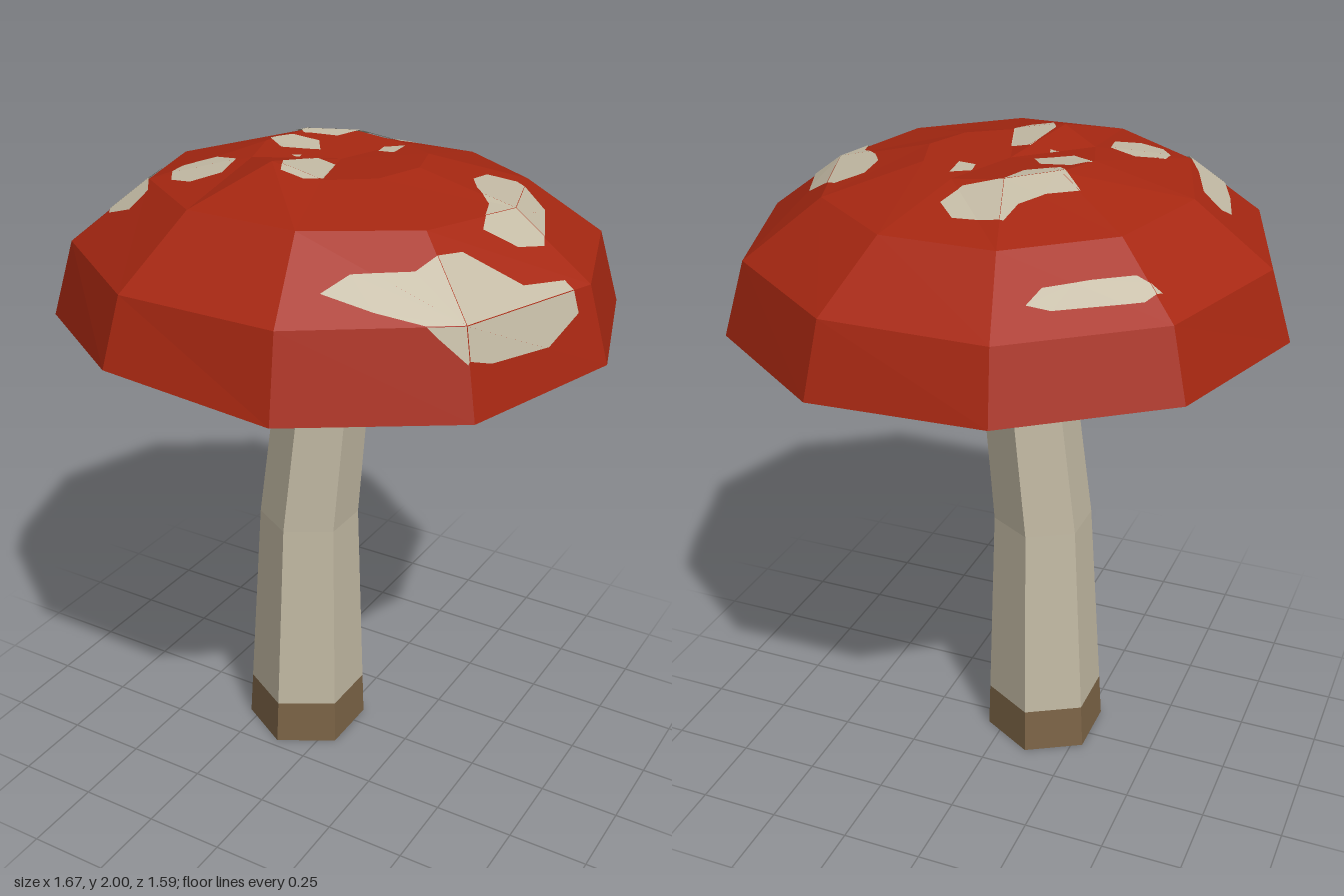
import * as THREE from 'three';

const red = new THREE.MeshStandardMaterial({ color: 0xa62711, flatShading: true });
red.name = 'capRed';
const cream = new THREE.MeshStandardMaterial({ color: 0xc4bba5, flatShading: true, side: THREE.DoubleSide });
cream.name = 'cream';
const brown = new THREE.MeshStandardMaterial({ color: 0x7d6547, flatShading: true, side: THREE.DoubleSide });
brown.name = 'earthBrown';

// Ring of n points; y is a function of (index, z)
function ring(n, r, y, cx = 0, cz = 0, turn = 0) {
  return Array.from({ length: n }, (_, k) => {
    const a = (k / n) * Math.PI * 2 + turn;
    const z = cz + r * Math.sin(a);
    return new THREE.Vector3(cx + r * Math.cos(a), y(k, z), z);
  });
}

// Triangles joining successive rings, skipping those that collapse at a tip
function loft(rings) {
  const tris = [];
  for (let i = 0; i < rings.length - 1; i++) {
    const lo = rings[i], hi = rings[i + 1], n = lo.length;
    for (let k = 0; k < n; k++) {
      const m = (k + 1) % n;
      for (const t of [[lo[k], hi[k], hi[m]], [lo[k], hi[m], lo[m]]]) {
        if (new THREE.Triangle(...t).getArea() > 1e-6) tris.push(t);
      }
    }
  }
  return tris;
}

function meshOf(tris, material, name) {
  const geo = new THREE.BufferGeometry().setFromPoints(tris.flat());
  geo.computeVertexNormals();
  const mesh = new THREE.Mesh(geo, material);
  mesh.name = name;
  return mesh;
}

// Cut a plan-view outline (x, z) to one triangle
function clip(poly, tri) {
  const p = tri.map(v => [v.x, v.z]);
  const side = (a, b, q) => (b[0] - a[0]) * (q[1] - a[1]) - (b[1] - a[1]) * (q[0] - a[0]);
  const sign = Math.sign(side(p[0], p[1], p[2]));
  for (let e = 0; e < 3; e++) {
    const a = p[e], b = p[(e + 1) % 3], out = [];
    poly.forEach((q, i) => {
      const next = poly[(i + 1) % poly.length];
      const d0 = side(a, b, q) * sign, d1 = side(a, b, next) * sign;
      if (d0 >= 0) out.push(q);
      if ((d0 >= 0) !== (d1 >= 0)) {
        const t = d0 / (d0 - d1);
        out.push([q[0] + (next[0] - q[0]) * t, q[1] + (next[1] - q[1]) * t]);
      }
    });
    poly = out;
  }
  return poly;
}

// Lay an outline over the faceted cap, just above its surface
function drape(outline, capTris) {
  const result = [];
  for (const tri of capTris) {
    const poly = clip(outline, tri);
    if (poly.length < 3) continue;
    const n = new THREE.Triangle(...tri).getNormal(new THREE.Vector3());
    const pts = poly.map(([x, z]) => new THREE.Vector3(
      x, tri[0].y - (n.x * (x - tri[0].x) + n.z * (z - tri[0].z)) / n.y, z).addScaledVector(n, 0.004));
    const flat = poly.map(([x, z]) => new THREE.Vector2(x, -z));
    for (const f of THREE.ShapeUtils.triangulateShape(flat, [])) {
      const t = f.map(i => pts[i]);
      const up = new THREE.Triangle(...t).getNormal(new THREE.Vector3()).dot(n) > 0;
      result.push(up ? t : t.reverse());
    }
  }
  return result;
}

// Spot outlines in plan (x, z)
const spots = [
  [[-0.57, -0.39], [-0.54, -0.44], [-0.34, -0.58], [-0.28, -0.6], [-0.3, -0.54], [-0.4, -0.46], [-0.5, -0.39]],
  [[-0.14, -0.4], [0, -0.41], [0.06, -0.35], [0.03, -0.27], [-0.09, -0.23], [-0.1, -0.15], [-0.19, -0.11],
    [-0.28, -0.2], [-0.2, -0.25], [-0.15, -0.32]],
  [[0.05, -0.16], [0.1, -0.2], [0.11, -0.11], [0.06, -0.11]],
  [[-0.25, -0.02], [-0.21, -0.08], [-0.12, -0.08], [-0.08, -0.02], [-0.18, 0.03]],
  [[-0.12, 0.07], [-0.1, 0.05], [-0.09, 0.08]],
  [[-0.03, 0.08], [0.03, 0.08], [0.08, 0.23], [0.04, 0.27], [-0.03, 0.27], [-0.06, 0.21]],
  [[-0.39, 0.22], [-0.32, 0.15], [-0.24, 0.17], [-0.22, 0.27], [-0.28, 0.34], [-0.35, 0.33], [-0.39, 0.27]],
  [[-0.61, 0.14], [-0.59, 0.1], [-0.53, 0.12], [-0.48, 0.25], [-0.4, 0.37], [-0.43, 0.42], [-0.52, 0.4], [-0.57, 0.28]],
  [[0.37, -0.18], [0.44, -0.23], [0.55, -0.18], [0.61, -0.04], [0.64, 0.03], [0.6, 0.11], [0.52, 0.16],
    [0.48, 0.04], [0.41, -0.03], [0.37, -0.09]],
  [[0.72, 0.07], [0.765, 0.07], [0.74, 0.2], [0.67, 0.4], [0.64, 0.47], [0.57, 0.5], [0.42, 0.56], [0.29, 0.6],
    [0.33, 0.52], [0.46, 0.42], [0.52, 0.28], [0.66, 0.2]],
];

export function createModel() {
  const model = new THREE.Group();
  model.name = 'mushroom';

  // Cap: ten-sided dome with an uneven rim and crown
  const rimY = [1.51, 1.5, 1.515, 1.555, 1.52, 1.525, 1.52, 1.515, 1.5, 1.5];
  const crownY = [1.97, 1.97, 1.97, 2, 1.97, 1.975, 1.98, 1.97, 1.955, 1.965];
  const rim = ring(10, 0.835, k => rimY[k]);
  const capTris = loft([
    rim,
    ring(10, 0.77, (k, z) => 1.73 + 0.025 * z),
    ring(10, 0.54, (k, z) => 1.9 + 0.05 * z),
    ring(10, 0.25, k => crownY[k]),
    ring(10, 0, () => 1.957),
  ]);
  model.add(meshOf(capTris, red, 'cap'));

  // Shallow underside
  model.add(meshOf(loft([ring(10, 0, () => 1.55), rim]), cream, 'gills'));

  // Spots
  const spotGroup = new THREE.Group();
  spotGroup.name = 'spots';
  spots.forEach((s, i) => spotGroup.add(meshOf(drape(s, capTris), cream, `spot${i + 1}`)));
  model.add(spotGroup);

  // Bent six-sided stem, open at the foot
  const hex = (r, y, x, z) => ring(6, r, () => y, x, z, Math.PI / 6);
  const collar = hex(0.187, 0.15, -0.114, 0.03);
  model.add(meshOf(loft([hex(0.194, 0, -0.117, 0.03), collar]), brown, 'stemBase'));
  model.add(meshOf(loft([collar, hex(0.156, 0.8, -0.1, 0.03), hex(0.135, 1.57, -0.025, 0.004)]), cream, 'stem'));

  return model;
}
